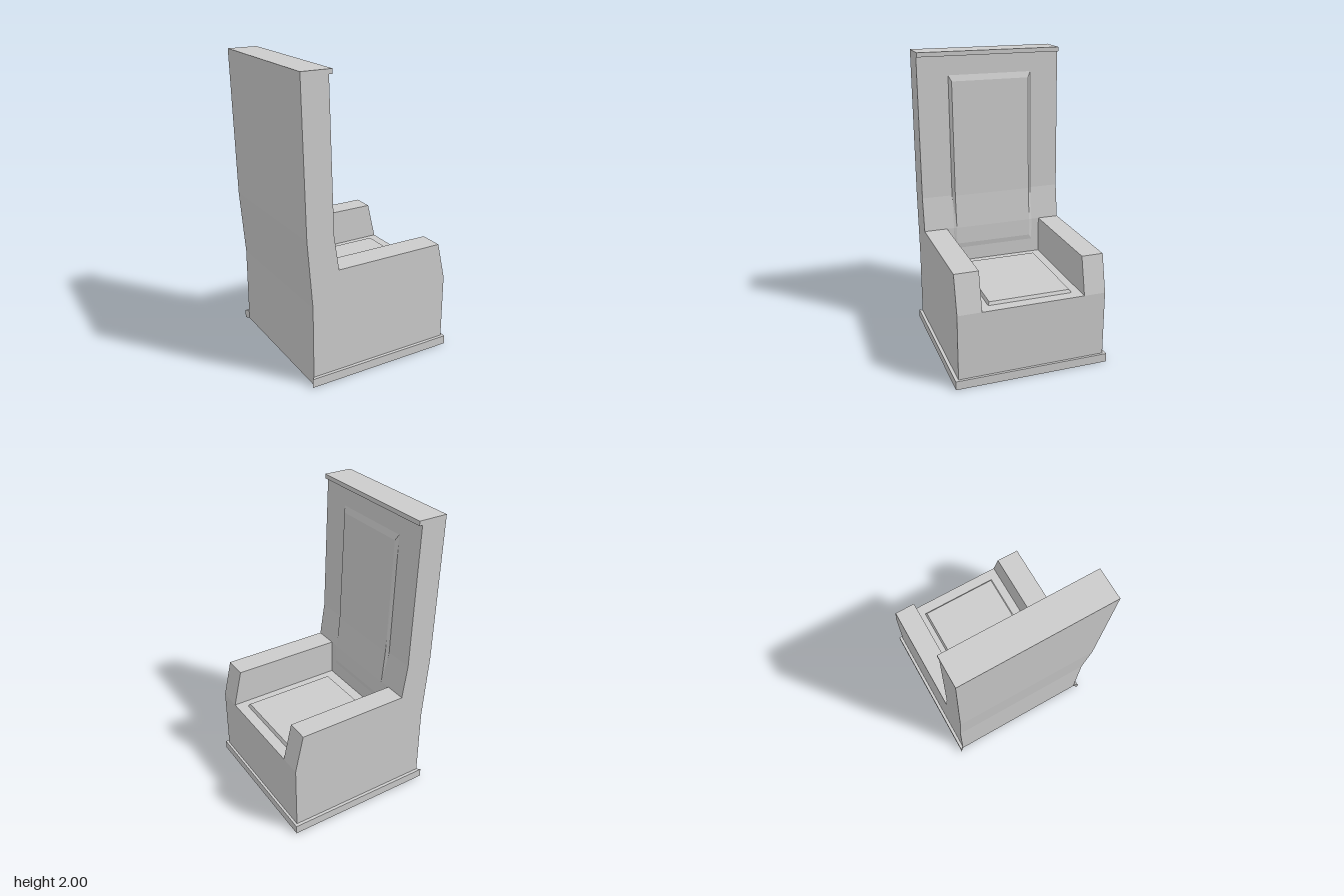
import * as THREE from 'three';

const material = new THREE.MeshStandardMaterial({ color: 0xcccccc, flatShading: true });

function addMesh(group, name, geometry) {
  const mesh = new THREE.Mesh(geometry, material);
  mesh.name = name;
  group.add(mesh);
}

// Side profile in x/y, extruded from z0 to z1.
function extrudeProfile(points, z0, z1) {
  const shape = new THREE.Shape(points.map(([x, y]) => new THREE.Vector2(x, y)));
  return new THREE.ExtrudeGeometry(shape, { depth: z1 - z0, bevelEnabled: false }).translate(0, 0, z0);
}

// Raised panel with mitred bevels. Each row is [baseX, baseY, raisedX, raisedY];
// the first and last rows lie on the supporting face.
function raisedPanel(rows, zOuter, zInner) {
  const grid = rows.map(([bx, by, rx, ry]) => [
    [bx, by, zOuter[0]], [rx, ry, zInner[0]], [rx, ry, zInner[1]], [bx, by, zOuter[1]],
  ]);
  const positions = [];
  for (let r = 0; r < grid.length - 1; r++) {
    for (let j = 0; j < 3; j++) {
      const a = grid[r][j], b = grid[r][j + 1], c = grid[r + 1][j + 1], d = grid[r + 1][j];
      const corners = (r === 0) === (j === 0) ? [a, d, c, a, c, b] : [a, d, b, d, c, b];
      positions.push(...corners.flat());
    }
  }
  const geometry = new THREE.BufferGeometry();
  geometry.setAttribute('position', new THREE.Float32BufferAttribute(positions, 3));
  geometry.computeVertexNormals();
  return geometry;
}

export function createModel() {
  const group = new THREE.Group();
  group.name = 'highBackedThrone';

  // Seat block and tall leaning back, with a lip along the top
  addMesh(group, 'seatAndBack', extrudeProfile([
    [-0.485, 0], [0.525, 0], [0.525, 0.51], [-0.3, 0.51], [-0.3, 0.765], [-0.335, 1.0],
    [-0.365, 1.97], [-0.342, 1.97], [-0.342, 2], [-0.545, 2], [-0.52, 1.0], [-0.485, 0.55],
  ], -0.503, 0.503));

  // Armrests with sloping fronts
  const arm = [[-0.3, 0.51], [0.525, 0.51], [0.465, 0.765], [-0.3, 0.765]];
  addMesh(group, 'leftArmrest', extrudeProfile(arm, -0.503, -0.355));
  addMesh(group, 'rightArmrest', extrudeProfile(arm, 0.341, 0.503));

  // Raised panel following the bend of the back
  addMesh(group, 'backPanel', raisedPanel([
    [-0.3, 0.61, -0.3, 0.61],
    [-0.3, 0.645, -0.294, 0.645],
    [-0.3, 0.765, -0.296, 0.765],
    [-0.335, 1.0, -0.318, 1.0],
    [-0.36, 1.8, -0.345, 1.8],
    [-0.361, 1.84, -0.361, 1.84],
  ], [-0.3, 0.29], [-0.28, 0.27]));

  // Raised panel on the seat
  addMesh(group, 'seatPanel', raisedPanel([
    [0.452, 0.51, 0.452, 0.51],
    [0.44, 0.51, 0.44, 0.53],
    [-0.215, 0.51, -0.215, 0.53],
    [-0.228, 0.51, -0.228, 0.51],
  ], [-0.294, 0.279], [-0.283, 0.268]));

  // Skirting round the front and sides, mitred at the open back
  const outline = [
    [-0.505, -0.525], [0.542, -0.525], [0.542, 0.525], [-0.505, 0.525], [-0.485, 0.503], [-0.485, -0.503],
  ];
  const skirting = extrudeProfile(outline.map(([x, z]) => [x, -z]), 0, 0.06).rotateX(-Math.PI / 2);
  addMesh(group, 'skirting', skirting);

  return group;
}
